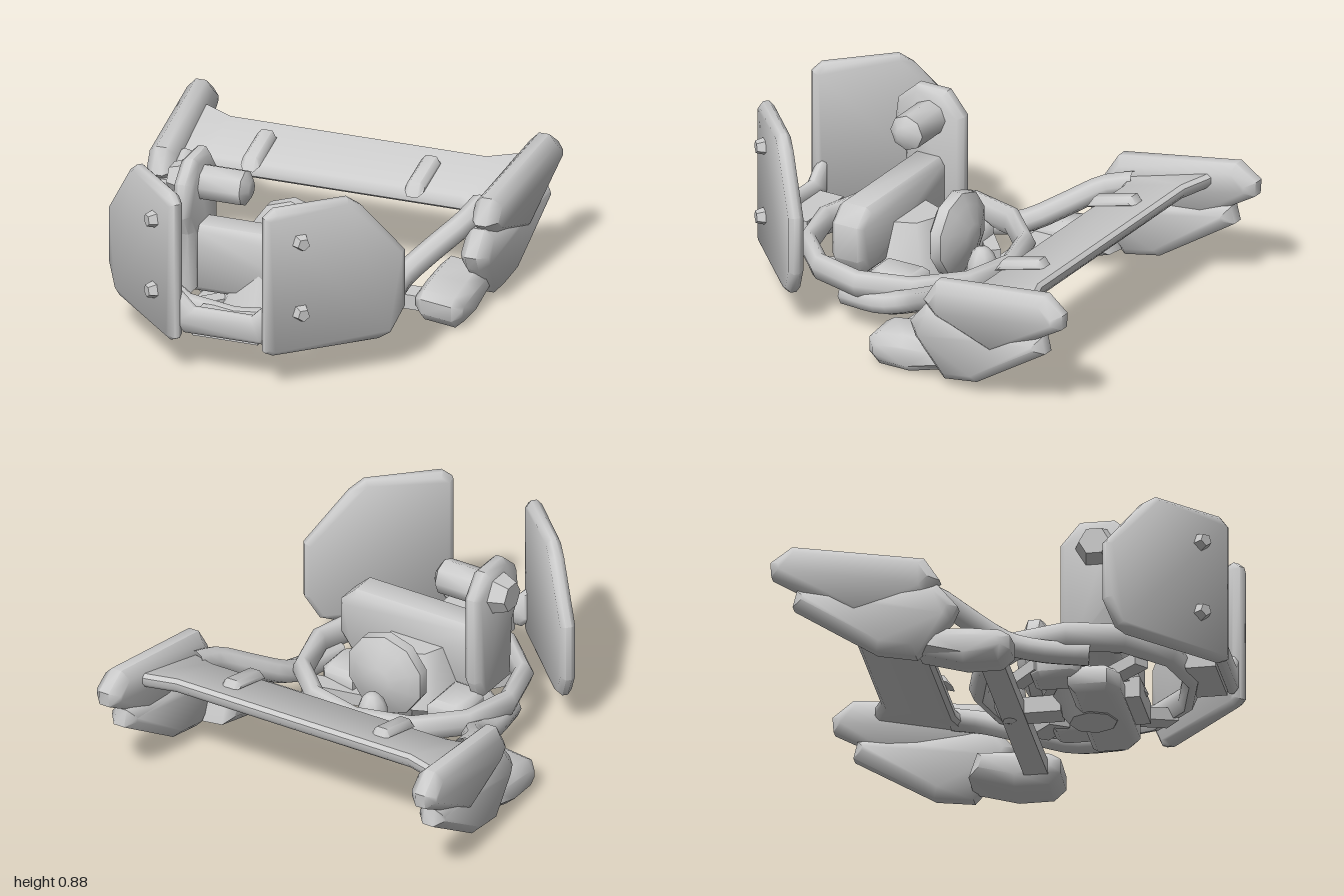
import * as THREE from 'three';
import { toCreasedNormals } from 'three/addons/utils/BufferGeometryUtils.js';

const material = new THREE.MeshStandardMaterial({ color: 0xcccccc, side: THREE.DoubleSide });

function add(parent, name, geometry, crease = 0.85) {
  const mesh = new THREE.Mesh(toCreasedNormals(geometry, crease), material);
  mesh.name = name;
  parent.add(mesh);
  return mesh;
}

// Bevelled slab from a 2D outline, lying between depth 0 and d
function slab(points, d, bevel) {
  const shape = new THREE.Shape(points.map(([x, y]) => new THREE.Vector2(x, y)));
  const g = new THREE.ExtrudeGeometry(shape, {
    depth: d - 2 * bevel, bevelEnabled: true, bevelThickness: bevel,
    bevelSize: bevel, bevelOffset: -bevel, bevelSegments: 1,
  });
  return g.translate(0, 0, bevel);
}

// Outline in (z, y), thickness from x0 to x1
const sideSlab = (pts, x0, x1, bevel) =>
  slab(pts.map(([z, y]) => [-z, y]), x1 - x0, bevel).rotateY(Math.PI / 2).translate(x0, 0, 0);

// Outline in (x, z), thickness from y0 to y1
const topSlab = (pts, y0, y1, bevel) =>
  slab(pts.map(([x, z]) => [x, -z]), y1 - y0, bevel).rotateX(-Math.PI / 2).translate(0, y0, 0);

// Move every vertex by a rule
function warp(g, rule) {
  const p = g.attributes.position;
  const v = new THREE.Vector3();
  for (let i = 0; i < p.count; i++) {
    rule(v.fromBufferAttribute(p, i));
    p.setXYZ(i, v.x, v.y, v.z);
  }
  return g;
}

// Rectangular beam between two points
function beam(parent, name, a, b, w, h) {
  const A = new THREE.Vector3(...a), B = new THREE.Vector3(...b);
  const mesh = add(parent, name, new THREE.BoxGeometry(w, h, A.distanceTo(B)));
  mesh.position.copy(A).lerp(B, 0.5);
  mesh.lookAt(B);
}

function buildSide(s) {
  const side = new THREE.Group();
  side.name = s > 0 ? 'leftSide' : 'rightSide';
  side.scale.x = s;

  // Angled front shield with two bolts
  const shield = new THREE.Group();
  shield.name = 'shield';
  shield.position.set(0.2, 0, 0.95);
  shield.rotation.y = THREE.MathUtils.degToRad(44);
  side.add(shield);
  add(shield, 'shieldPlate', slab([[-0.02, 0.18], [-0.02, 0.84], [0.03, 0.88], [0.39, 0.88],
    [0.46, 0.83], [0.67, 0.58], [0.67, 0.3], [0.6, 0.18], [0.54, 0.16], [0.02, 0.16]], 0.07, 0.022));
  for (const y of [0.36, 0.71]) {
    add(shield, 'shieldBolt', new THREE.CylinderGeometry(0.03, 0.045, 0.05, 5)
      .rotateX(Math.PI / 2).translate(0.15, y, 0.085));
  }

  // Arm sweeping from the ring up to the rear pod
  const path = new THREE.CatmullRomCurve3([[0.46, 0.14, 0.4], [0.5, 0.16, 0.17], [0.51, 0.21, 0.02],
    [0.6, 0.3, -0.14], [0.69, 0.38, -0.28], [0.72, 0.42, -0.42]].map((p) => new THREE.Vector3(...p)));
  add(side, 'sideArm', new THREE.TubeGeometry(path, 14, 0.056, 8), 1);

  // Rear pods, upper and lower, drifting outwards to the back
  const drift = (v) => { v.x += (-v.z - 0.6) * 0.07; };
  add(side, 'upperPod', warp(sideSlab([[-0.23, 0.4], [-0.3, 0.51], [-0.9, 0.595], [-1, 0.52],
    [-0.995, 0.45], [-0.62, 0.23], [-0.3, 0.33]], 0.75, 0.88, 0.04), drift));
  add(side, 'lowerPod', warp(sideSlab([[-0.15, 0.27], [-0.24, 0.38], [-0.6, 0.36], [-0.88, 0.38],
    [-0.9, 0.3], [-0.52, 0.06], [-0.34, 0.03], [-0.18, 0.2]], 0.735, 0.87, 0.04), drift));

  // Foot, lower on its outer edge
  add(side, 'foot', warp(sideSlab([[0.085, 0.05], [0.03, 0], [-0.13, 0], [-0.34, 0.06],
    [-0.3, 0.18], [-0.1, 0.17], [0.04, 0.15], [0.085, 0.12]], 0.58, 0.81, 0.04),
    (v) => { v.y += (0.77 - v.x) * 0.12; }));

  // Diagonal struts from hub to ring
  beam(side, 'frontStrut', [0.16, 0.12, 0.42], [0.36, 0.18, 0.64], 0.1, 0.06);
  beam(side, 'rearStrut', [0.16, 0.12, 0.16], [0.41, 0.18, 0.02], 0.1, 0.06);

  // Hub side block
  add(side, 'hubSideBlock', topSlab([[0.2, 0.11], [0.35, 0.11], [0.38, 0.15], [0.38, 0.3],
    [0.34, 0.34], [0.2, 0.34]], 0.09, 0.24, 0.025));

  // Raised rib on the rear panel
  add(side, 'panelRib', warp(sideSlab([[-0.64, 0], [-0.61, 0.05], [-0.41, 0.05], [-0.37, 0]],
    0.355, 0.445, 0.02), (v) => { v.y += 0.43 + (-v.z - 0.4) * 0.25; }));
  return side;
}

export function createModel() {
  const model = new THREE.Group();
  model.name = 'craft';

  // Twelve-sided main ring
  const ringProfile = [[0.46, 0.2], [0.49, 0.155], [0.53, 0.17], [0.555, 0.23],
    [0.53, 0.28], [0.5, 0.29], [0.47, 0.265], [0.46, 0.2]].map((p) => new THREE.Vector2(...p));
  add(model, 'mainRing', new THREE.LatheGeometry(ringProfile, 12).scale(1, 1, 0.97)
    .translate(0, 0, 0.305), 1.1);

  for (const s of [1, -1]) model.add(buildSide(s));

  // Rear panel flaring out to the pods, rising to the back
  const half = [[0.62, -0.74], [0.74, -0.79], [0.79, -0.8], [0.79, -0.26], [0.73, -0.36], [0.62, -0.4]];
  const outline = [...half, ...half.map(([x, z]) => [-x, z]).reverse()].reverse();
  add(model, 'rearPanel', warp(topSlab(outline, 0.37, 0.44, 0.02),
    (v) => { v.y += (-v.z - 0.4) * 0.25; }));

  // Notched front bumper and its mount on the ring
  add(model, 'frontBumper', slab([[-0.24, 0.25], [-0.19, 0.2], [0.19, 0.2], [0.24, 0.25], [0.24, 0.4],
    [0.21, 0.4], [0.14, 0.33], [-0.14, 0.33], [-0.21, 0.4], [-0.24, 0.4]], 0.06, 0.02)
    .translate(0, 0, 0.915));
  add(model, 'bumperMount', new THREE.BoxGeometry(0.32, 0.1, 0.14).translate(0, 0.23, 0.86));

  // Hub under the ring: front block, faceted cone and bottom cap
  add(model, 'hubBase', topSlab([[-0.35, 0.28], [0.35, 0.28], [0.35, 0.46], [0.28, 0.51],
    [-0.28, 0.51], [-0.35, 0.46]], 0.02, 0.15, 0.03));
  add(model, 'hubFront', new THREE.BoxGeometry(0.3, 0.1, 0.1).translate(0, 0.11, 0.53));
  add(model, 'hubCone', new THREE.CylinderGeometry(0.14, 0.25, 0.24, 8).translate(0, 0.26, 0.345));
  add(model, 'hubCap', new THREE.CylinderGeometry(0.2, 0.11, 0.12, 8).translate(0, 0.075, 0.34));

  // Cross bar joining the feet, with a rounded centre post
  add(model, 'crossBar', new THREE.BoxGeometry(1.3, 0.07, 0.11).translate(0, 0.09, -0.025));
  add(model, 'centrePost', new THREE.SphereGeometry(0.075, 8, 8).scale(1, 1.7, 1)
    .translate(0, 0.17, -0.045), 1.2);
  beam(model, 'hubSpine', [0, 0.1, -0.04], [0, 0.1, 0.2], 0.12, 0.08);

  // Upright faceted disc facing the rear
  const discProfile = [[0, -0.185], [0.05, -0.18], [0.15, -0.145], [0.2, -0.115], [0.2, -0.06],
    [0.15, -0.035], [0.06, 0], [0, 0]].map((p) => new THREE.Vector2(...p));
  add(model, 'rearDisc', new THREE.LatheGeometry(discProfile, 10).rotateX(-Math.PI / 2)
    .translate(0, 0.335, 0));

  // Console across the ring
  add(model, 'console', slab([[-0.34, 0.2], [-0.36, 0.46], [-0.3, 0.525], [0.34, 0.525],
    [0.42, 0.45], [0.42, 0.28], [0.36, 0.2]], 0.17, 0.025).translate(0, 0, 0.34));

  // Upright arm carrying the viewing tube
  add(model, 'uprightArm', sideSlab([[0.54, 0.2], [0.56, 0.5], [0.62, 0.6], [0.6, 0.76], [0.5, 0.85],
    [0.34, 0.85], [0.25, 0.74], [0.25, 0.3], [0.3, 0.2]], -0.385, -0.3, 0.025));
  add(model, 'viewingTube', new THREE.CylinderGeometry(0.085, 0.085, 0.23, 8)
    .rotateZ(Math.PI / 2).translate(-0.215, 0.71, 0.42));
  add(model, 'tubeLens', new THREE.CylinderGeometry(0.085, 0.04, 0.03, 8)
    .rotateZ(Math.PI / 2).translate(-0.085, 0.71, 0.42));
  add(model, 'tubeCap', new THREE.CylinderGeometry(0.1, 0.07, 0.08, 6)
    .rotateZ(-Math.PI / 2).translate(-0.42, 0.71, 0.42));

  return model;
}
